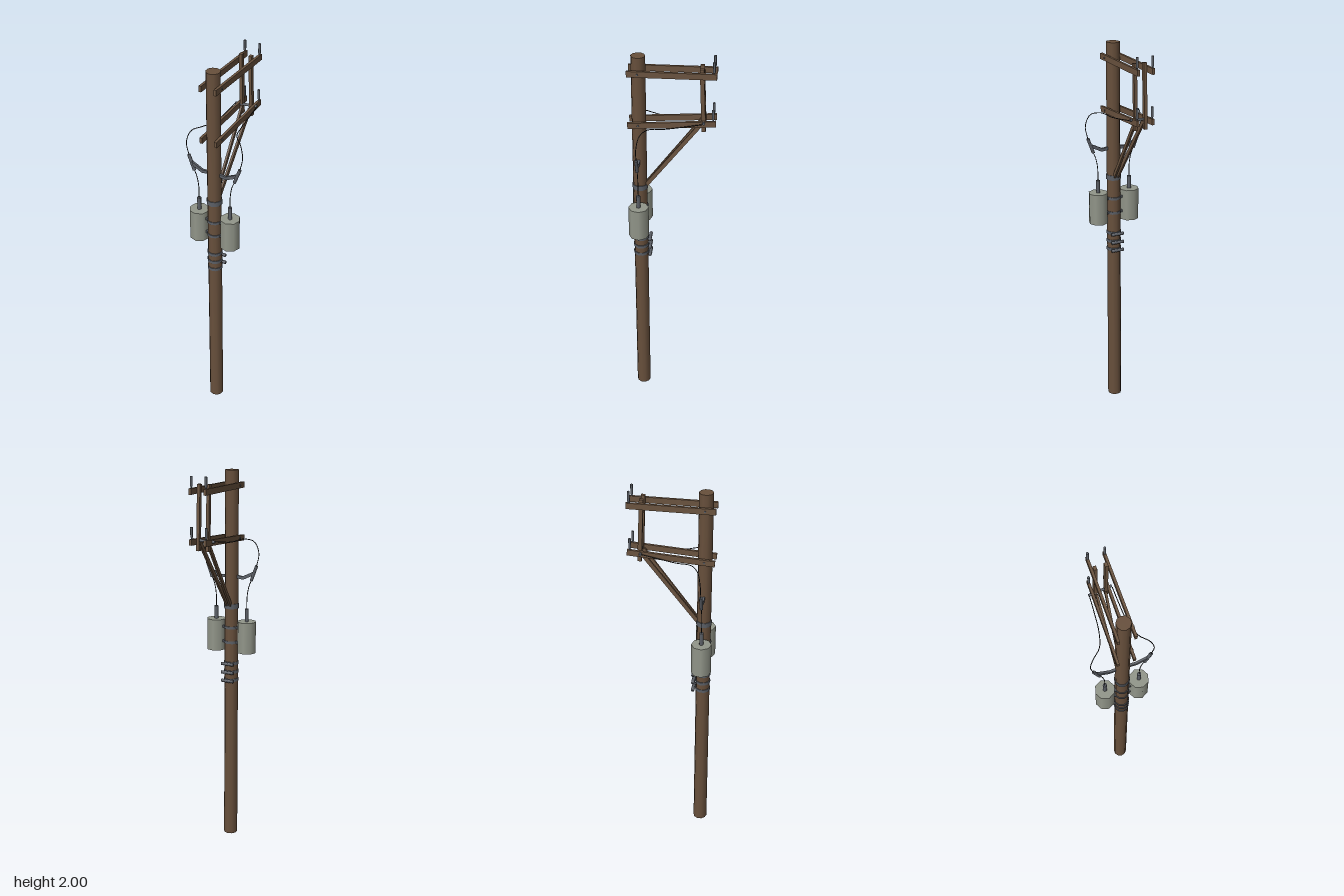
import * as THREE from 'three';

const POLE_Z = 0.162;
const V = (x, y, z) => new THREE.Vector3(x, y, z);

function material(name, color) {
  const m = new THREE.MeshStandardMaterial({ color });
  m.name = name;
  return m;
}

export function createModel() {
  const root = new THREE.Group();
  root.name = 'utilityPole';
  const wood = material('pole wood', 0x68503c);
  const timber = material('arm timber', 0x6b5440);
  const steel = material('grey steel', 0x5c6067);
  const tankPaint = material('tank paint', 0x92968a);
  const cable = material('black cable', 0x1c1c1c);

  const add = (name, geo, mat, pos) => {
    const mesh = new THREE.Mesh(geo, mat);
    mesh.name = name;
    if (pos) mesh.position.copy(pos);
    root.add(mesh);
    return mesh;
  };
  // Rectangular bar running from a to b
  const beam = (name, a, b, w, h, mat) => {
    const mesh = add(name, new THREE.BoxGeometry(w, h, a.distanceTo(b)), mat,
      a.clone().add(b).multiplyScalar(0.5));
    mesh.lookAt(b);
    return mesh;
  };
  // Round bar running from a to b
  const rod = (name, a, b, r, mat, sides = 8) => {
    const mesh = add(name, new THREE.CylinderGeometry(r, r, a.distanceTo(b), sides), mat,
      a.clone().add(b).multiplyScalar(0.5));
    mesh.quaternion.setFromUnitVectors(V(0, 1, 0), b.clone().sub(a).normalize());
    return mesh;
  };
  const wire = (name, points) => add(name,
    new THREE.TubeGeometry(new THREE.CatmullRomCurve3(points), 28, 0.0022, 5), cable);

  // Pole
  add('pole', new THREE.CylinderGeometry(0.035, 0.037, 2, 10), wood, V(0, 1, POLE_Z));

  // Steel bands around the pole
  for (const [y, h] of [[1.295, 0.026], [1.18, 0.014], [1.1, 0.014], [0.985, 0.016], [0.938, 0.016], [0.892, 0.016]]) {
    add('poleBand', new THREE.CylinderGeometry(0.0395, 0.0395, h, 10), steel, V(0, y, POLE_Z));
  }

  // Secondary spool insulators behind the pole, ribbed along their length
  for (const y of [0.985, 0.938, 0.892]) {
    const profile = [[0, -0.034], [0.009, -0.034], [0.009, -0.02], [0.007, -0.016], [0.0105, -0.01], [0.007, 0],
      [0.0105, 0.01], [0.007, 0.016], [0.009, 0.02], [0.009, 0.034], [0, 0.034]];
    const spool = add('spoolInsulator',
      new THREE.LatheGeometry(profile.map(([r, t]) => new THREE.Vector2(r, t)), 8), steel, V(0, y, 0.114));
    spool.rotation.z = Math.PI / 2;
  }

  for (const s of [-1, 1]) {
    // Paired cross arms, the lower ones rising slightly to the back
    beam('upperArm', V(s * 0.04, 1.922, 0.214), V(s * 0.04, 1.924, -0.214), 0.013, 0.03, timber);
    beam('lowerArm', V(s * 0.04, 1.65, 0.214), V(s * 0.04, 1.679, -0.214), 0.013, 0.03, timber);

    // Upright spacer and diagonal brace
    beam('uprightBrace', V(s * 0.026, 1.63, -0.155), V(s * 0.026, 1.955, -0.142), 0.016, 0.02, timber);
    beam('diagonalBrace', V(s * 0.009, 1.305, 0.13), V(s * 0.022, 1.67, -0.145), 0.011, 0.02, timber);

    // Pin insulators at the arm tips
    for (const y of [1.935, 1.69]) {
      rod('insulatorPin', V(s * 0.04, y - 0.02, -0.2), V(s * 0.04, y + 0.03, -0.2), 0.004, steel);
      rod('pinInsulator', V(s * 0.04, y + 0.012, -0.2), V(s * 0.04, y + 0.062, -0.2), 0.0065, steel);
    }

    // Arm bolts by the pole
    for (const y of [1.922, 1.654]) {
      rod('armBolt', V(s * 0.03, y, POLE_Z), V(s * 0.05, y, POLE_Z), 0.005, steel, 6);
    }

    // Transformer tank with lid bushing and mounting lugs
    const tx = s * 0.089;
    const tank = add('transformerTank', new THREE.CylinderGeometry(0.051, 0.051, 0.167, 8), tankPaint, V(tx, 1.134, POLE_Z));
    tank.rotation.y = 0.1;
    rod('tankBushing', V(tx, 1.21, POLE_Z), V(tx, 1.285, POLE_Z), 0.0105, steel);
    for (const y of [1.1, 1.18]) {
      beam('tankLug', V(s * 0.03, y, POLE_Z), V(s * 0.05, y, POLE_Z), 0.03, 0.014, steel);
    }

    // Fuse cutout on its angled bracket
    beam('fuseBracket', V(s * 0.03, 1.452, POLE_Z), V(s * 0.068, 1.447, POLE_Z), 0.012, 0.016, steel);
    beam('fuseArm', V(s * 0.065, 1.447, POLE_Z), V(s * 0.128, 1.477, POLE_Z), 0.012, 0.017, steel);
    rod('fuseTube', V(s * 0.143, 1.517, POLE_Z), V(s * 0.113, 1.437, POLE_Z), 0.0085, steel);

    // Leads: cross arm to fuse, fuse to tank
    wire('upperLead', [V(s * 0.057, 1.682, -0.15), V(s * 0.061, 1.668, -0.07), V(s * 0.07, 1.655, 0.03),
      V(s * 0.095, 1.66, 0.11), V(s * 0.135, 1.645, 0.145), V(s * 0.156, 1.585, 0.16), V(s * 0.142, 1.512, POLE_Z)]);
    wire('tankLead', [V(s * 0.114, 1.44, POLE_Z), V(s * 0.1, 1.405, POLE_Z),
      V(s * 0.09, 1.35, POLE_Z), V(s * 0.089, 1.28, POLE_Z)]);
  }

  // Rod tying the rear of the lower arms together
  rod('rearTieRod', V(-0.06, 1.678, -0.146), V(0.056, 1.684, -0.156), 0.007, steel);

  return root;
}
